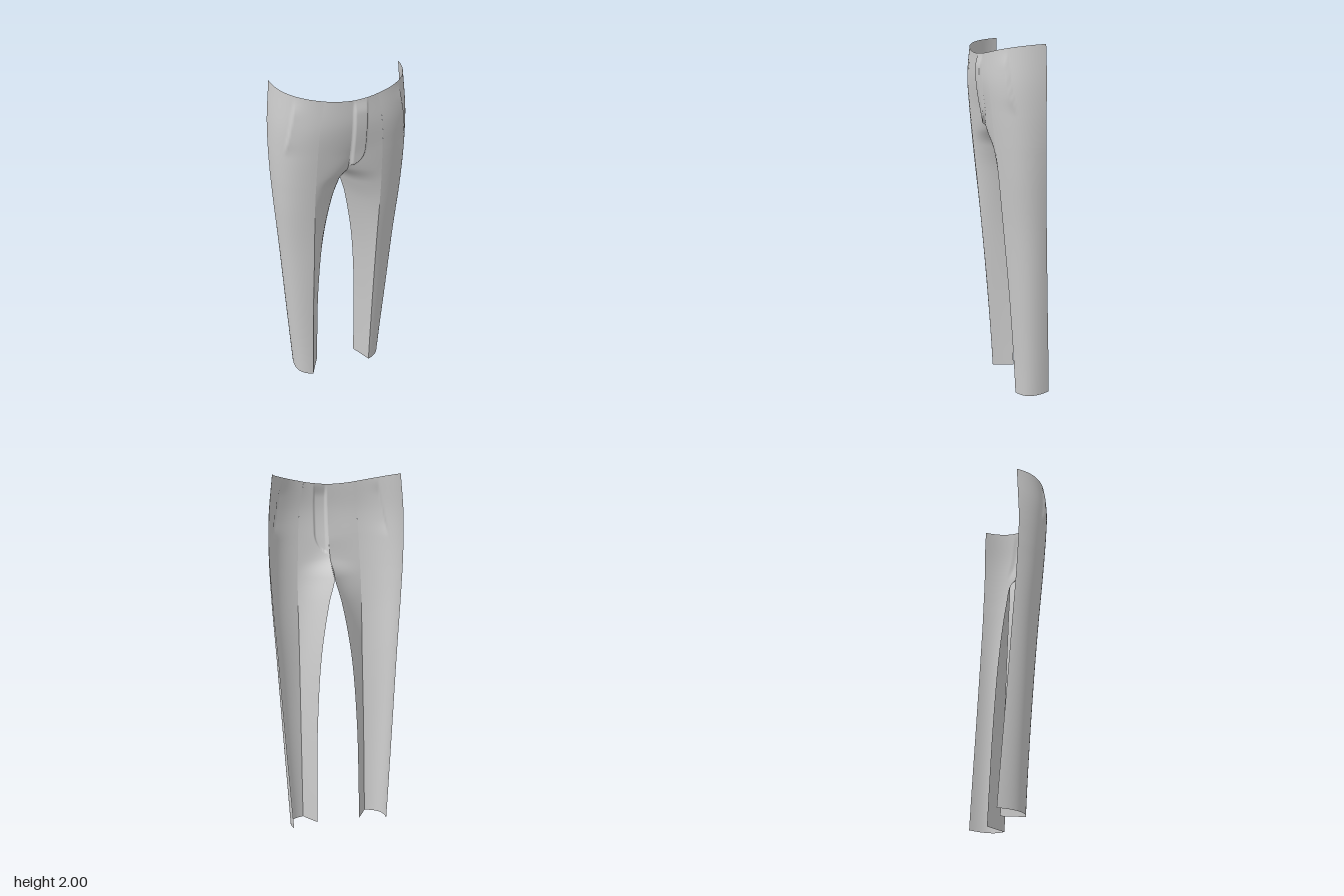
import * as THREE from 'three';

// Guide lines of one leg's front half, waist to hem: [x, y, z]
const curve = (pts) => new THREE.CatmullRomCurve3(pts.map((p) => new THREE.Vector3(...p)));
const centre = curve([ // centre seam, crotch, then inseam edge
  [0, 1.94, 0.156], [0, 1.8, 0.155], [0, 1.65, 0.131], [0, 1.53, 0.095], [0, 1.43, -0.018],
  [0.035, 1.3, -0.04], [0.086, 1.0, -0.066], [0.115, 0.6, -0.088], [0.124, 0.2, -0.105], [0.126, 0.015, -0.112],
]);
const innerPull = curve([ // bend of the panel between seam and crease
  [0.08, 1.943, 0.157], [0.08, 1.8, 0.16], [0.075, 1.65, 0.143], [0.06, 1.52, 0.128], [0.05, 1.43, 0.1],
  [0.085, 1.3, 0.068], [0.132, 1.0, 0.026], [0.157, 0.6, -0.014], [0.164, 0.2, -0.04], [0.166, 0.008, -0.045],
]);
const crease = curve([
  [0.14, 1.953, 0.142], [0.165, 1.8, 0.148], [0.176, 1.65, 0.138], [0.182, 1.5, 0.124], [0.185, 1.42, 0.116],
  [0.187, 1.3, 0.104], [0.187, 1.0, 0.076], [0.189, 0.6, 0.041], [0.19, 0.2, 0.013], [0.19, 0.005, 0.002],
]);
const outerPull = curve([ // bend around the hip and calf
  [0.345, 1.99, 0.11], [0.368, 1.8, 0.115], [0.375, 1.65, 0.105], [0.38, 1.5, 0.09], [0.38, 1.42, 0.081],
  [0.378, 1.3, 0.068], [0.365, 1.0, 0.03], [0.345, 0.6, 0.005], [0.322, 0.2, -0.022], [0.31, 0.008, -0.03],
]);
const side = curve([ // outer side seam edge
  [0.348, 2.0, -0.09], [0.368, 1.8, -0.089], [0.373, 1.65, -0.086], [0.37, 1.5, -0.09], [0.366, 1.42, -0.093],
  [0.359, 1.3, -0.098], [0.338, 1.0, -0.115], [0.313, 0.6, -0.138], [0.287, 0.2, -0.162], [0.275, 0.02, -0.172],
]);

const { smoothstep } = THREE.MathUtils;

// Raised fly flap with a rounded lower end, on the left only
function fly(p) {
  const edge = p.y > 1.67 ? 0.082 : 0.082 * Math.sqrt(Math.max(0, 1 - ((1.67 - p.y) / 0.11) ** 2));
  const inside = smoothstep(p.x, 0.004, 0.018) * (1 - smoothstep(p.x, edge - 0.008, edge + 0.002));
  p.z += 0.013 * inside * (1 - smoothstep(p.y, 1.87, 1.95));
}

// Lip along the slanted pocket opening
function pocket(p) {
  const d = p.x - THREE.MathUtils.mapLinear(p.y, 1.67, 1.98, 0.325, 0.265);
  const fade = smoothstep(p.y, 1.64, 1.74) * (1 - smoothstep(p.y, 1.88, 1.97));
  const lip = 0.009 * fade * (d < 0 ? Math.exp(d / 0.03) : 1 - smoothstep(d, 0, 0.008));
  p.z += lip;
  p.x += lip * 0.4;
}

// Sheet of quadratic cross-sections between two guide lines
function panel(name, from, pull, to, cols, mirror, detail) {
  const rows = 120, pos = [], index = [];
  for (let i = 0; i <= rows; i++) {
    const [a, b, c] = [from, pull, to].map((g) => g.getPoint(i / rows));
    const section = new THREE.QuadraticBezierCurve3(a, b, c);
    for (let j = 0; j <= cols; j++) {
      const p = section.getPoint(j / cols);
      if (detail) detail(p);
      pos.push(mirror * p.x, p.y, p.z);
    }
  }
  for (let i = 0; i < rows; i++) {
    for (let j = 0; j < cols; j++) {
      const a = i * (cols + 1) + j, b = a + cols + 1;
      if (mirror > 0) index.push(a, b, a + 1, b, b + 1, a + 1);
      else index.push(a, a + 1, b, b, a + 1, b + 1);
    }
  }
  const geo = new THREE.BufferGeometry();
  geo.setAttribute('position', new THREE.Float32BufferAttribute(pos, 3));
  geo.setIndex(index);
  geo.computeVertexNormals();
  const mesh = new THREE.Mesh(geo, new THREE.MeshStandardMaterial({ color: 0xcccccc, side: THREE.DoubleSide }));
  mesh.name = name;
  return mesh;
}

export function createModel() {
  const model = new THREE.Group();
  model.name = 'trouserFront';
  for (const [label, m] of [['left', 1], ['right', -1]]) {
    const leg = new THREE.Group();
    leg.name = label + 'Leg';
    leg.add(
      panel(label + 'InnerPanel', centre, innerPull, crease, 36, m, m > 0 ? fly : null),
      panel(label + 'OuterPanel', crease, outerPull, side, 36, m, pocket),
    );
    model.add(leg);
  }
  return model;
}
